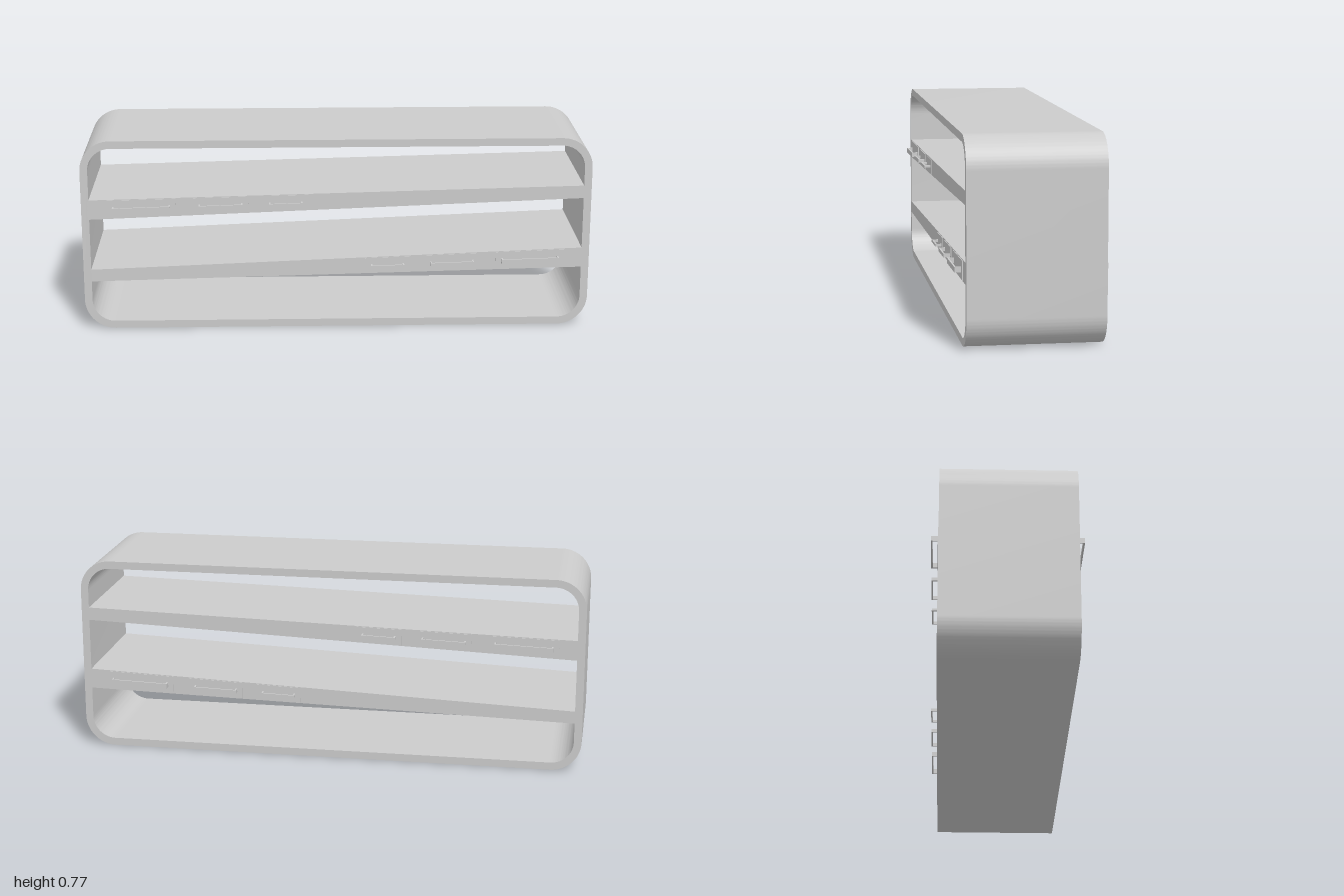
import * as THREE from 'three';
import { toCreasedNormals } from 'three/addons/utils/BufferGeometryUtils.js';

const W = 2, H = 0.77, D = 0.508, WALL = 0.03, R = 0.12;
const material = new THREE.MeshStandardMaterial({ color: 0xcccccc });

// Rounded rectangle centred on x = 0 and y = H / 2
function roundedRect(path, w, h, r) {
  const x = w / 2, b = (H - h) / 2, t = b + h;
  path.moveTo(-x + r, b);
  path.lineTo(x - r, b);
  path.absarc(x - r, b + r, r, -Math.PI / 2, 0);
  path.lineTo(x, t - r);
  path.absarc(x - r, t - r, r, 0, Math.PI / 2);
  path.lineTo(-x + r, t);
  path.absarc(-x + r, t - r, r, Math.PI / 2, Math.PI);
  path.lineTo(-x, b + r);
  path.absarc(-x + r, b + r, r, Math.PI, Math.PI * 1.5);
  return path;
}

function extrude(name, shape, z0, z1) {
  const geo = new THREE.ExtrudeGeometry(shape, { depth: z1 - z0, bevelEnabled: false, curveSegments: 16 });
  geo.translate(0, 0, z0);
  const mesh = new THREE.Mesh(toCreasedNormals(geo, 0.5), material);
  mesh.name = name;
  return mesh;
}

// Prism between two sloping lines, low(x) and high(x)
function slab(name, x0, x1, low, high, z0, z1) {
  const shape = new THREE.Shape([
    new THREE.Vector2(x0, low(x0)), new THREE.Vector2(x1, low(x1)),
    new THREE.Vector2(x1, high(x1)), new THREE.Vector2(x0, high(x0)),
  ]);
  return extrude(name, shape, z0, z1);
}

// Straight line through (-0.97, a) and (0.97, b)
const line = (a, b) => (x) => a + (b - a) * (x + 0.97) / 1.94;

// Drawers as [centre x, handle half width, handle height], from the thick end of a shelf
const DRAWERS = [[0.765, 0.113, 0.02], [0.455, 0.086, 0.014], [0.2, 0.066, 0.01]];

// Drawer front with a U-shaped pull, on the +z face
function drawer(x, half, height, low, high) {
  const group = new THREE.Group();
  group.name = 'drawer';
  const f = D / 2, t = 0.006, out = f + 0.028;
  const mid = (v) => (low(v) + high(v)) / 2;
  const bottom = (v) => mid(v) - height / 2, top = (v) => mid(v) + height / 2;
  const x0 = x - half, x1 = x + half;
  group.add(
    slab('drawerFront', x0 - 0.022, x1 + 0.022, (v) => low(v) + 0.003, (v) => high(v) - 0.003, f - 0.002, f + 0.003),
    slab('handleBar', x0, x1, bottom, top, out - t, out),
    slab('handlePost', x0, x0 + t, bottom, top, f, out - t),
    slab('handlePost', x1 - t, x1, bottom, top, f, out - t),
  );
  return group;
}

// Tapered shelf; side is the x sign of its thick end, where the drawers sit
function shelf(name, low, high, side) {
  const group = new THREE.Group();
  group.name = name;
  group.add(slab('board', -0.975, 0.975, low, high, -D / 2, D / 2));
  for (const [x, half, height] of DRAWERS) {
    group.add(drawer(side * x, half, height, low, high));
    // Same drawer on the back: build with x mirrored, then turn round
    const back = drawer(-side * x, half, height, (v) => low(-v), (v) => high(-v));
    back.rotation.y = Math.PI;
    group.add(back);
  }
  return group;
}

export function createModel() {
  const model = new THREE.Group();
  model.name = 'shelfUnit';

  // Hollow outer frame
  const outline = roundedRect(new THREE.Shape(), W, H, R);
  outline.holes.push(roundedRect(new THREE.Path(), W - 2 * WALL, H - 2 * WALL, R - WALL));
  model.add(extrude('frame', outline, -D / 2, D / 2));

  // Two sloping shelves, each the half-turn of the other
  model.add(shelf('upperShelf', line(0.453, 0.526), line(0.532, 0.577), -1));
  model.add(shelf('lowerShelf', line(0.197, 0.241), line(0.246, 0.321), 1));
  return model;
}
